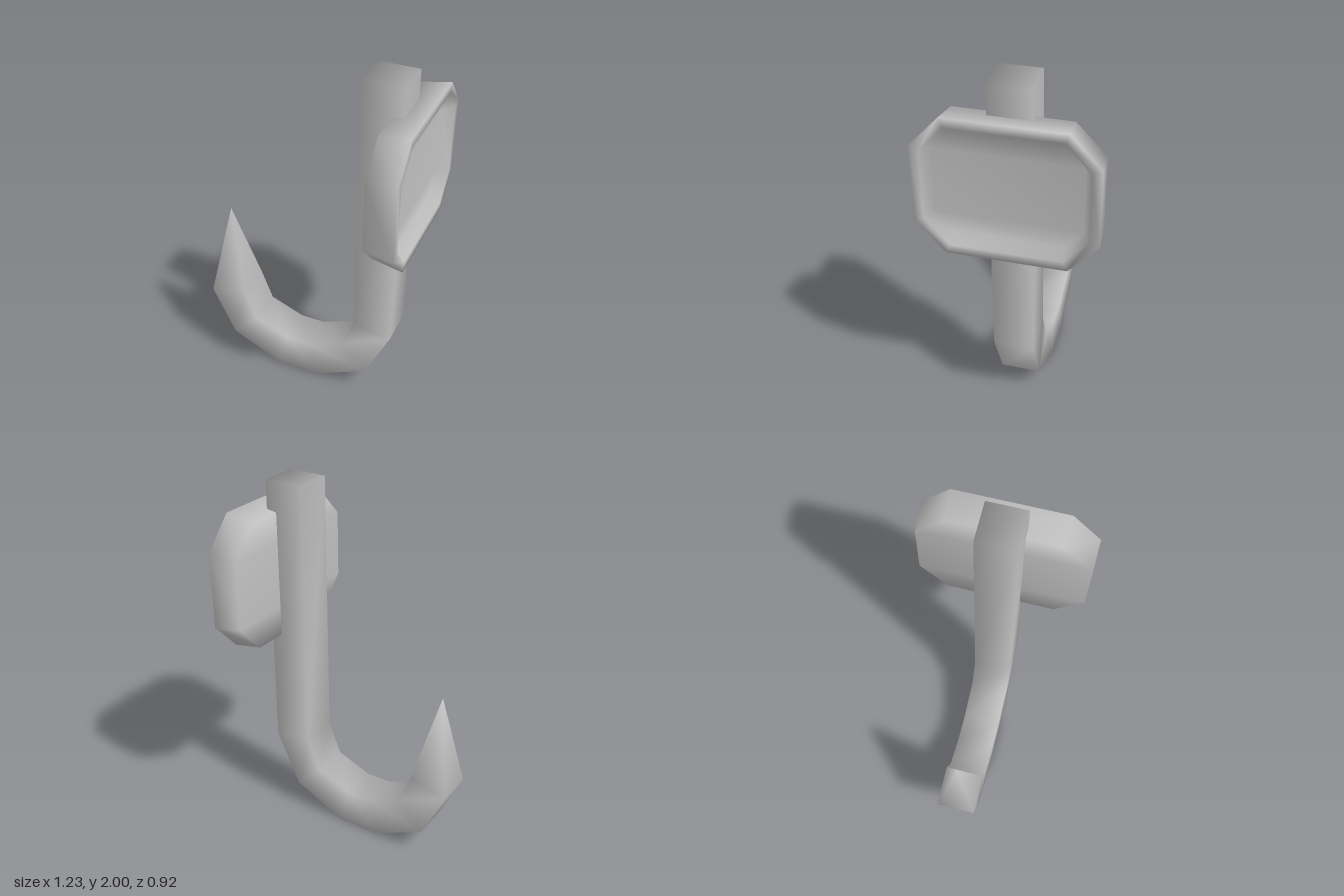
import * as THREE from 'three';
import { mergeVertices } from 'three/addons/utils/BufferGeometryUtils.js';

// Skin a list of rings (each an array of [x, y, z]) and cap both ends, with smooth normals
function loft(rings) {
  const n = rings[0].length;
  const index = [];
  const quad = (a, b, c, d) => index.push(a, b, c, a, c, d);
  for (let r = 0; r < rings.length - 1; r++) {
    for (let i = 0; i < n; i++) {
      const j = (i + 1) % n;
      quad(r * n + i, r * n + j, (r + 1) * n + j, (r + 1) * n + i);
    }
  }
  const end = (rings.length - 1) * n;
  for (let i = 0; i < n / 2 - 1; i++) {
    quad(n - 1 - i, n - 2 - i, i + 1, i);
    quad(end + i, end + i + 1, end + n - 2 - i, end + n - 1 - i);
  }
  let geo = new THREE.BufferGeometry();
  geo.setAttribute('position', new THREE.Float32BufferAttribute(rings.flat(2), 3));
  geo.setIndex(index);
  geo = mergeVertices(geo);
  geo.computeVertexNormals();
  return geo;
}

// Square section of the hook between its inner and outer edge
function hookRing([ix, iy, ox, oy, h]) {
  return [[ox, oy, -h], [ox, oy, h], [ix, iy, h], [ix, iy, -h]];
}

// Octagon with cut corners, standing upright at the given x
function plateRing([x, hy, hz, cy, cz]) {
  const my = 1.48;
  return [
    [hy, hz - cz], [hy - cy, hz], [-hy + cy, hz], [-hy, hz - cz],
    [-hy, -hz + cz], [-hy + cy, -hz], [hy - cy, -hz], [hy, -hz + cz],
  ].map(([y, z]) => [x, my + y, z]);
}

export function createModel() {
  const model = new THREE.Group();
  const metal = new THREE.MeshStandardMaterial({ color: 0xc0c0c0 });
  metal.name = 'grey metal';

  // Shaft, bend and pointed tip: inner x, inner y, outer x, outer y, half depth
  const hook = new THREE.Mesh(loft([
    [0.285, 2, 0.505, 2, 0.108],
    [0.285, 0.48, 0.505, 0.45, 0.108],
    [0.21, 0.3, 0.365, 0.145, 0.108],
    [0.01, 0.22, 0.06, 0, 0.108],
    [-0.13, 0.22, -0.18, 0, 0.108],
    [-0.33, 0.3, -0.48, 0.145, 0.108],
    [-0.4, 0.48, -0.615, 0.43, 0.108],
    [-0.52, 0.975, -0.52, 0.975, 0],
  ].map(hookRing)), metal);
  hook.name = 'hook';
  model.add(hook);

  // Dished plate with a raised rim: x, half height, half width, corner cuts
  const plate = new THREE.Mesh(loft([
    [0.445, 0.353, 0.452, 0.165, 0.155],
    [0.61, 0.38, 0.46, 0.17, 0.155],
    [0.61, 0.33, 0.41, 0.14, 0.125],
    [0.55, 0.283, 0.37, 0.105, 0.09],
  ].map(plateRing)), metal);
  plate.name = 'mountingPlate';
  model.add(plate);

  return model;
}
